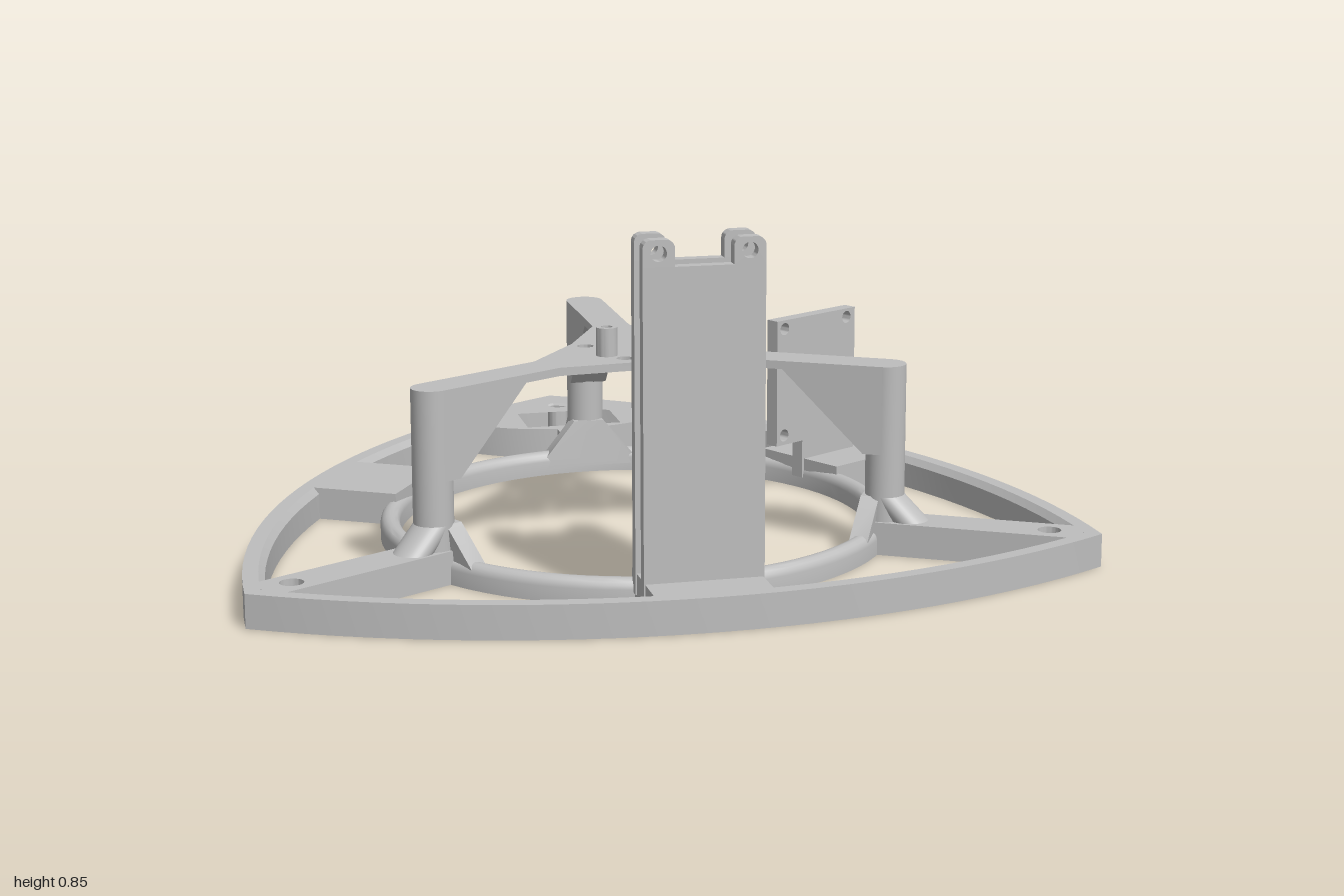
import * as THREE from 'three';
import { toCreasedNormals } from 'three/addons/utils/BufferGeometryUtils.js';

const R = 2 / Math.sqrt(3);            // centre to corner of the three-arc outline
const DEG = Math.PI / 180;
const CORNERS = [7, 127, 247];         // corner directions, clockwise from +x seen from above
const H = 0.08;                        // base height
const ARM_TOP = 0.46;

const polar = (deg, d) => new THREE.Vector2(Math.cos(deg * DEG) * d, Math.sin(deg * DEG) * d);

// Constant-width triangle, inset by o
function outline(o, seg = 28) {
  const r = 2 - o, d = (-R + Math.sqrt(4 * r * r - 3 * R * R)) / 2;
  const pts = [];
  CORNERS.forEach((a) => {
    const c = polar(a + 240, R);       // arc centre is the opposite corner
    const from = polar(a, d).sub(c).angle();
    let to = polar(a + 120, d).sub(c).angle();
    if (to < from) to += Math.PI * 2;
    for (let i = 0; i < seg; i++) {
      const t = from + (to - from) * i / seg;
      pts.push(new THREE.Vector2(c.x + Math.cos(t) * r, c.y + Math.sin(t) * r));
    }
  });
  return pts;
}

function addHole(shape, x, y, r) {
  const p = new THREE.Path();
  p.absarc(x, y, r, 0, Math.PI * 2, true);
  shape.holes.push(p);
}
const poly = (pts) => new THREE.Shape(pts.map(([x, y]) => new THREE.Vector2(x, y)));

// Plan shape (x, z) extruded between two heights
function slab(shape, y0, y1) {
  const g = new THREE.ExtrudeGeometry(shape, { depth: y1 - y0, bevelEnabled: false, curveSegments: 20 });
  return g.rotateX(Math.PI / 2).translate(0, y1, 0);
}
// Side shape (x, y) extruded symmetrically across z
function side(shape, w) {
  return new THREE.ExtrudeGeometry(shape, { depth: w, bevelEnabled: false, curveSegments: 14 }).translate(0, 0, -w / 2);
}
// Shift every vertex along x by a rule of its y and z
function shiftX(g, rule) {
  const p = g.attributes.position;
  for (let i = 0; i < p.count; i++) p.setX(i, p.getX(i) + rule(p.getY(i), p.getZ(i)));
  g.computeVertexNormals();
  return g;
}

// Loft the rim cross-section round the outline
function rimGeometry() {
  const section = [[0, 0], [0, H], [0.036, H], [0.05, H - 0.016], [0.05, 0]];
  const rings = section.map(([o, y]) => outline(o).map((p) => [p.x, y, p.y]));
  const n = rings[0].length, m = section.length, pos = [];
  for (let j = 0; j < m; j++) {
    const a = rings[j], b = rings[(j + 1) % m];
    for (let i = 0; i < n; i++) {
      const k = (i + 1) % n;
      pos.push(...a[i], ...b[i], ...b[k], ...a[i], ...b[k], ...a[k]);
    }
  }
  const g = new THREE.BufferGeometry();
  g.setAttribute('position', new THREE.Float32BufferAttribute(pos, 3));
  g.computeVertexNormals();
  return g;
}

export function createModel() {
  const model = new THREE.Group();
  model.name = 'triangularFrame';
  model.position.set(-0.146, 0, 0.063);
  const grey = new THREE.MeshStandardMaterial({ color: 0xbebebe });
  grey.name = 'plain grey';

  const add = (parent, name, geometry) => {
    const mesh = new THREE.Mesh(toCreasedNormals(geometry, 0.5), grey);
    mesh.name = name;
    parent.add(mesh);
  };
  // Group whose local +x points outward in the given direction
  const sector = (name, deg) => {
    const g = new THREE.Group();
    g.name = name;
    g.rotation.y = -deg * DEG;
    model.add(g);
    return g;
  };

  // Outer rim
  add(model, 'outerRim', rimGeometry());

  // Inner ring with a rounded top
  const ringProfile = [[0.58, 0], [0.628, 0]];
  for (let i = 0; i <= 8; i++) {
    const t = Math.PI * i / 8;
    ringProfile.push([0.604 + Math.cos(t) * 0.024, 0.036 + Math.sin(t) * 0.024]);
  }
  ringProfile.push([0.58, 0]);
  add(model, 'innerRing', new THREE.LatheGeometry(ringProfile.map(([x, y]) => new THREE.Vector2(x, y)), 80));

  // Raised hub plate
  const hubPts = [];
  CORNERS.forEach((a) => {
    hubPts.push(polar(a - 9.6, 0.285), polar(a + 9.6, 0.285), polar(a + 60, 0.162));
  });
  const hub = new THREE.Shape(hubPts);
  for (let i = 0; i < 4; i++) {
    const p = polar(i * 90, 0.123);
    addHole(hub, p.x, p.y, 0.02);
  }
  const pegs = [new THREE.Vector2(0.097, -0.051), new THREE.Vector2(-0.05, 0.095)];
  pegs.forEach((p) => addHole(hub, p.x, p.y, 0.014));
  add(model, 'hubPlate', slab(hub, 0.44, ARM_TOP));

  // Hollow pegs on the hub
  pegs.forEach((p) => {
    const s = new THREE.Shape();
    s.absarc(p.x, p.y, 0.026, 0, Math.PI * 2);
    addHole(s, p.x, p.y, 0.014);
    add(model, 'hubPeg', slab(s, ARM_TOP, 0.53));
  });

  // Three arms with brace, post, foot and spoke
  const W = 0.095;
  CORNERS.forEach((a, i) => {
    const g = sector('arm', a);
    add(g, 'bracedArm', side(poly([[0.28, 0.44], [0.385, 0.44], [0.585, 0.245], [0.63, 0.245],
      [0.63, ARM_TOP], [0.28, ARM_TOP]]), W));
    const post = new THREE.CylinderGeometry(W / 2, W / 2, ARM_TOP - 0.01, 28);
    add(g, 'post', post.translate(0.63, (ARM_TOP + 0.01) / 2, 0));
    // round foot leaning out towards the corner
    const lean = new THREE.CylinderGeometry(W / 2, W / 2, 0.12, 28).translate(0.63, 0.08, 0);
    add(g, 'footOuterSlope', shiftX(lean, (y) => 0.14 - y));
    // slopes running down both ways along the ring
    const spread = side(poly([[-0.125, 0.02], [0.125, 0.02], [0.115, 0.05], [0.04, 0.14], [-0.04, 0.14], [-0.115, 0.05]]), 0.045);
    spread.rotateY(Math.PI / 2).translate(0.604, 0, 0);
    add(g, 'footSideSlopes', shiftX(spread, (y, z) => -z * z / 1.2));
    const end = i === 2 ? 0.78 : 1.11;
    const spoke = poly([[0.61, -0.054], [end, -0.054], [end, 0.054], [0.61, 0.054]]);
    if (i !== 2) addHole(spoke, 1.03, 0, 0.028);
    add(g, 'spoke', slab(spoke, 0, H));
  });

  // Rear corner plate with a rectangular window and a bolt hole
  const back = sector('cornerPlate', 247);
  const reach = 0.41, half = 2 * Math.asin(reach / 4) / DEG;
  const pts = [];
  for (let i = 0; i <= 6; i++) {       // along one outer edge to the tip
    pts.push(polar(30 + half * (1 - i / 6), 1.998).add(polar(-120, R)));
  }
  for (let i = 0; i <= 6; i++) {       // and down the other
    pts.push(polar(-30 - half * i / 6, 1.998).add(polar(120, R)));
  }
  const spread = 60 - half / 2;
  for (let i = 1; i < 20; i++) {       // rounded inner edge
    pts.push(polar(180 + spread - 2 * spread * i / 20, reach).add(new THREE.Vector2(R, 0)));
  }
  const plate = new THREE.Shape(pts);
  addHole(plate, 1.03, 0, 0.028);
  plate.holes.push(new THREE.Path([[0.785, -0.13], [0.785, 0.13], [0.95, 0.13], [0.95, -0.13]]
    .map(([x, y]) => new THREE.Vector2(x, y))));
  add(back, 'windowPlate', slab(plate, 0, H));

  // Mounting blocks halfway along each side
  const [front, , right] = [67, 187, 307].map((a) => {
    const g = sector('sideMount', a);
    add(g, 'mountBlock', new THREE.BoxGeometry(0.24, H, 0.27).translate(0.703, H / 2, 0));
    return g;
  });

  // Tower of two upright plates with eyelet tabs
  const tower = poly([[-0.138, 0.03], [0.138, 0.03], [0.138, 0.79], [-0.138, 0.79]]);
  [0.617, 0.704].forEach((d) => {
    add(front, 'towerPlate', side(tower, 0.03).rotateY(Math.PI / 2).translate(d, 0, 0));
    [-1, 1].forEach((s) => {
      const tab = new THREE.Shape();
      tab.moveTo(-0.036, 0.79).lineTo(0.036, 0.79).lineTo(0.036, 0.83);
      tab.absarc(0.016, 0.83, 0.02, 0, Math.PI / 2);
      tab.absarc(-0.016, 0.83, 0.02, Math.PI / 2, Math.PI);
      addHole(tab, 0, 0.82, 0.018);
      add(front, 'towerTab', side(tab, 0.03).rotateY(Math.PI / 2).translate(d, 0, s * 0.102));
    });
  });

  // Upright board with four screw holes
  const board = poly([[0.48, 0.13], [0.575, 0.13], [0.575, 0.03], [0.77, 0.03], [0.77, ARM_TOP], [0.48, ARM_TOP]]);
  [0.507, 0.738].forEach((x) => [0.155, 0.437].forEach((y) => addHole(board, x, y, 0.016)));
  add(right, 'uprightBoard', side(board, 0.036));

  return model;
}
